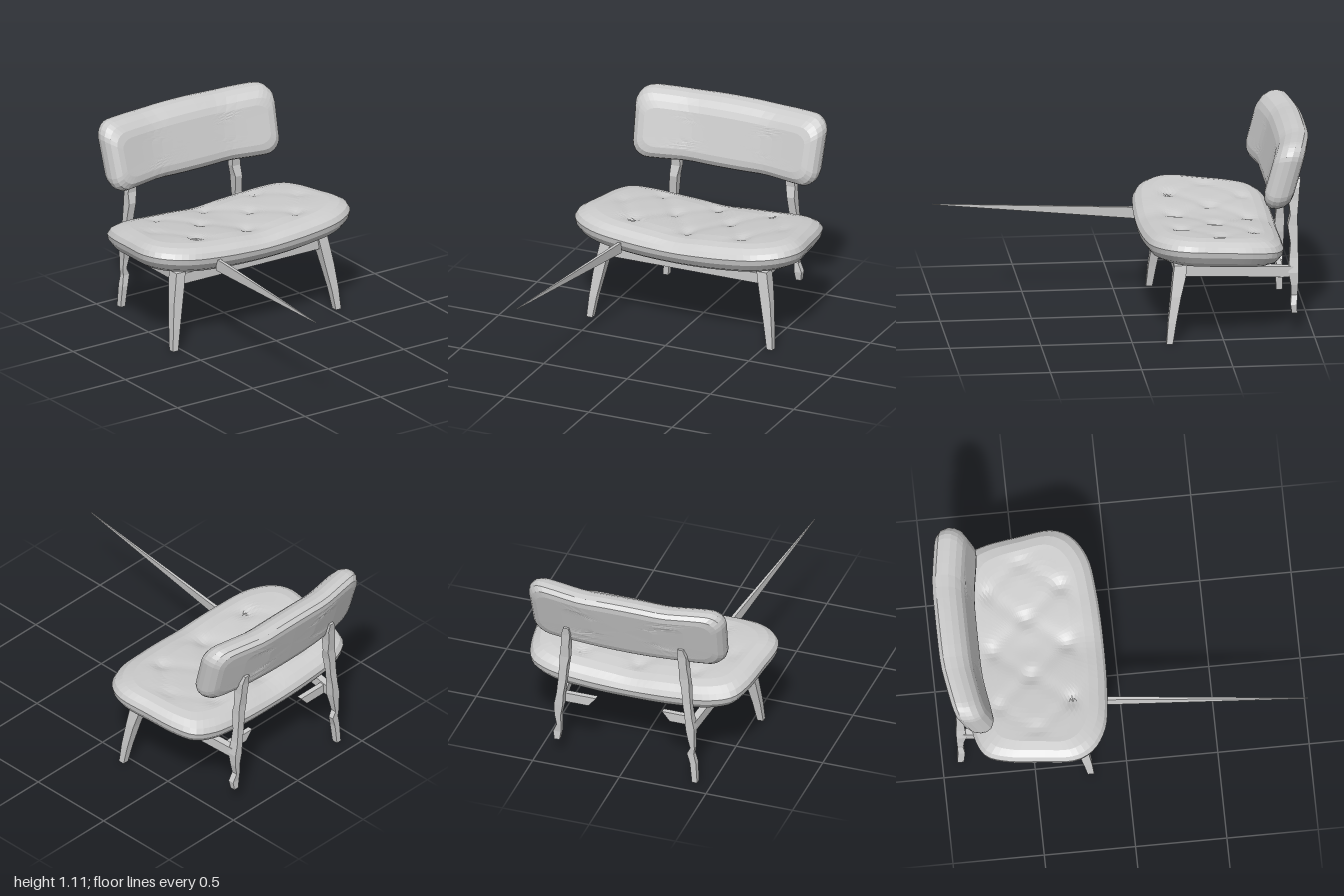
import * as THREE from 'three';

const material = new THREE.MeshStandardMaterial({ color: 0xcccccc, flatShading: true });

function addMesh(group, name, geometry) {
  const mesh = new THREE.Mesh(geometry, material);
  mesh.name = name;
  group.add(mesh);
  return mesh;
}

// Skin a stack of closed rings (each counter-clockwise seen from the last ring), closing both ends.
function loft(rings) {
  const n = rings[0].length, positions = [], index = [];
  rings.forEach(ring => ring.forEach(p => positions.push(p.x, p.y, p.z)));
  for (let j = 0; j < rings.length - 1; j++) {
    for (let i = 0; i < n; i++) {
      const k = (i + 1) % n, a = j * n + i, b = j * n + k;
      index.push(a, b, b + n, a, b + n, a + n);
    }
  }
  const last = (rings.length - 1) * n;
  for (let i = 1; i < n - 1; i++) index.push(0, i + 1, i, last, last + i, last + i + 1);
  const geometry = new THREE.BufferGeometry();
  geometry.setAttribute('position', new THREE.Float32BufferAttribute(positions, 3));
  geometry.setIndex(index);
  geometry.computeVertexNormals();
  return geometry;
}

// Padded cushion: an outline inset along a rounded rim profile, with dense rings over the top face.
function cushion(outline, hx, hy, rim, capRings, place) {
  const ring = (inset, k, h, top) => outline.map(p =>
    place(p.x * (1 - inset / hx) * k, p.y * (1 - inset / hy) * k, h, top));
  const first = rim[0], end = rim[rim.length - 1], rings = [];
  for (const k of [0.01, 0.35, 0.7]) rings.push(ring(first[0], k, first[1], 0));
  for (const [inset, h] of rim) rings.push(ring(inset, 1, h, 0));
  for (let i = 1; i <= capRings; i++) {
    const t = i / capRings;
    rings.push(ring(end[0], Math.max(1 - t, 0.005), end[1], Math.min(1, t * 4)));
  }
  return loft(rings);
}

// Rough-cut leg: horizontal rectangular sections [x, y, z, width, depth] from bottom to top.
function leg(sections) {
  const corners = [[-1, 1], [1, 1], [1, -1], [-1, -1]];
  return loft(sections.map(([x, y, z, w, d]) => corners.map(([a, b]) =>
    new THREE.Vector3(x + a * w / 2, y, z + b * d / 2))));
}

// Straight rail between two points.
function rail(from, to, width, height) {
  const a = new THREE.Vector3(...from), b = new THREE.Vector3(...to);
  const geometry = new THREE.BoxGeometry(width, height, a.distanceTo(b));
  const holder = new THREE.Object3D();
  holder.position.copy(a).lerp(b, 0.5);
  holder.lookAt(b);
  holder.updateMatrix();
  return geometry.applyMatrix4(holder.matrix);
}

function seatGeometry() {
  // Right half of the plan, front to back, in (x, -z) about the seat centre
  const half = [[0, -0.385], [0.3, -0.375], [0.5, -0.345], [0.62, -0.27], [0.67, -0.17],
    [0.655, 0.02], [0.625, 0.22], [0.58, 0.32], [0.47, 0.37], [0.25, 0.385], [0, 0.385]];
  const mirrored = half.slice(1, -1).reverse().map(([x, y]) => [-x, y]);
  const curve = new THREE.CatmullRomCurve3(
    [...half, ...mirrored].map(([x, y]) => new THREE.Vector3(x, y, 0)), true);
  const outline = curve.getSpacedPoints(96).slice(0, -1);
  const rim = [[0.14, -0.08], [0.08, -0.07], [0.03, -0.045], [0.005, -0.01], [0, 0.02],
    [0.015, 0.05], [0.05, 0.076], [0.1, 0.09]];
  const crease = s => Math.exp(-Math.pow((s - Math.round(s)) / 0.17, 2));
  return cushion(outline, 0.67, 0.385, rim, 20, (x, b, h, top) => {
    const z = -0.46 - b;
    // Diamond tufting, deepest where the creases cross at the buttons
    const u = 2 * x / 0.33, v = (z + 0.49) / 0.21;
    const p = crease((u + v - 1) / 2), q = crease((u - v - 1) / 2);
    const dip = top * (0.005 * (p + q) + 0.012 * p * q - 0.008);
    // Low middle with raised ends, and a shallow scallop at the centre line
    const scallop = h > 0 ? 0.12 * h * Math.exp(-Math.pow(x / 0.11, 2)) : 0;
    const y = 0.475 + 0.05 * (x / 0.67) ** 2 + 0.07 * (z + 0.46) + h - dip - scallop;
    return new THREE.Vector3(x, y, z);
  });
}

function backrestGeometry() {
  const hx = 0.565, hy = 0.19, r = 0.085, outline = [];
  // Rounded rectangle with evenly divided long edges
  [[1, 1, 0], [-1, 1, 1], [-1, -1, 2], [1, -1, 3]].forEach(([sx, sy, q]) => {
    for (let i = 0; i <= 5; i++) {
      const a = (q + i / 5) * Math.PI / 2;
      outline.push(new THREE.Vector2(sx * (hx - r) + r * Math.cos(a), sy * (hy - r) + r * Math.sin(a)));
    }
    if (q % 2 === 0) {
      for (let i = 1; i < 14; i++) outline.push(new THREE.Vector2(sx * (hx - r) * (1 - i / 7), sy * hy));
    }
  });
  const rim = [[0.06, -0.082], [0.03, -0.075], [0.008, -0.05], [0, -0.015], [0.004, 0.02],
    [0.02, 0.052], [0.05, 0.076], [0.085, 0.084]];
  return cushion(outline, hx, hy, rim, 7, (x, y, h) => {
    // Straight middle, wings angled forward, whole pad leaning back
    const d = Math.abs(x) - 0.24;
    const bend = (d + Math.sqrt(d * d + 0.003)) / 2;
    const wide = x * (1 + 0.16 * Math.min(0, y));
    const tall = y * (1 - 0.03 * Math.exp(-Math.pow(d / 0.1, 2)));
    return new THREE.Vector3(wide, 0.92 + tall, -0.878 - 0.27 * y + 0.17 * bend + h);
  });
}

export function createModel() {
  const chair = new THREE.Group();
  chair.name = 'loungeChair';
  addMesh(chair, 'seatCushion', seatGeometry());
  addMesh(chair, 'backrestCushion', backrestGeometry());

  // Splayed front legs and side rails
  for (const s of [1, -1]) {
    const side = s > 0 ? 'left' : 'right';
    addMesh(chair, side + 'FrontLeg', leg([
      [s * 0.54, 0, -0.2, 0.035, 0.035], [s * 0.525, 0.12, -0.215, 0.045, 0.045],
      [s * 0.502, 0.26, -0.238, 0.058, 0.055], [s * 0.483, 0.36, -0.257, 0.06, 0.07],
      [s * 0.47, 0.43, -0.267, 0.06, 0.07]]));
    addMesh(chair, side + 'SideRail', rail([s * 0.45, 0.39, -0.27], [s * 0.38, 0.345, -0.89], 0.04, 0.06));

    // Corner bracket at the rear of the frame
    const shape = new THREE.Shape([[0.4, 0.37], [0.19, 0.37], [0.235, 0.315], [0.4, 0.315]]
      .map(([x, y]) => new THREE.Vector2(s * x, y)));
    const bracket = addMesh(chair, side + 'RearBracket',
      new THREE.ExtrudeGeometry(shape, { depth: 0.03, bevelEnabled: false }));
    bracket.position.z = -0.84;

    // Uneven back leg; the left one is broken off short
    const foot = s > 0
      ? [[0.39, 0.11, -0.9, 0.03, 0.03], [0.39, 0.16, -0.895, 0.045, 0.035], [0.378, 0.21, -0.9, 0.025, 0.035]]
      : [[0.405, 0, -0.9, 0.03, 0.035], [0.395, 0.12, -0.895, 0.035, 0.04], [0.38, 0.18, -0.9, 0.04, 0.03],
        [0.392, 0.22, -0.9, 0.025, 0.035]];
    const upper = [[0.385, 0.27, -0.9, 0.035, 0.04], [0.38, 0.34, -0.895, 0.05, 0.055],
      [0.37, 0.42, -0.898, 0.04, 0.05], [0.36, 0.5, -0.9, 0.045, 0.04], [0.352, 0.6, -0.893, 0.045, 0.055],
      [0.345, 0.66, -0.9, 0.055, 0.04], [0.34, 0.74, -0.9, 0.045, 0.055], [0.335, 0.81, -0.9, 0.05, 0.065],
      [0.33, 0.86, -0.91, 0.03, 0.06]];
    addMesh(chair, side + 'BackLeg', leg([...foot, ...upper].map(([x, ...rest]) => [s * x, ...rest])));
  }

  // Front cross rail under the seat
  addMesh(chair, 'frontRail', rail([-0.46, 0.385, -0.275], [0.46, 0.385, -0.275], 0.065, 0.06));

  // Long thin sliver projecting from the front edge of the seat
  const base = [[-0.33, 0.455], [-0.31, 0.455], [-0.305, 0.52], [-0.325, 0.52]];
  addMesh(chair, 'frontSliver', loft([
    base.map(([x, y]) => new THREE.Vector3(x, y, -0.1)),
    [[-1, -1], [1, -1], [1, 1], [-1, 1]].map(([a, b]) =>
      new THREE.Vector3(-0.43 + 0.002 * a, 0.535 + 0.002 * b, 1))]));
  return chair;
}
